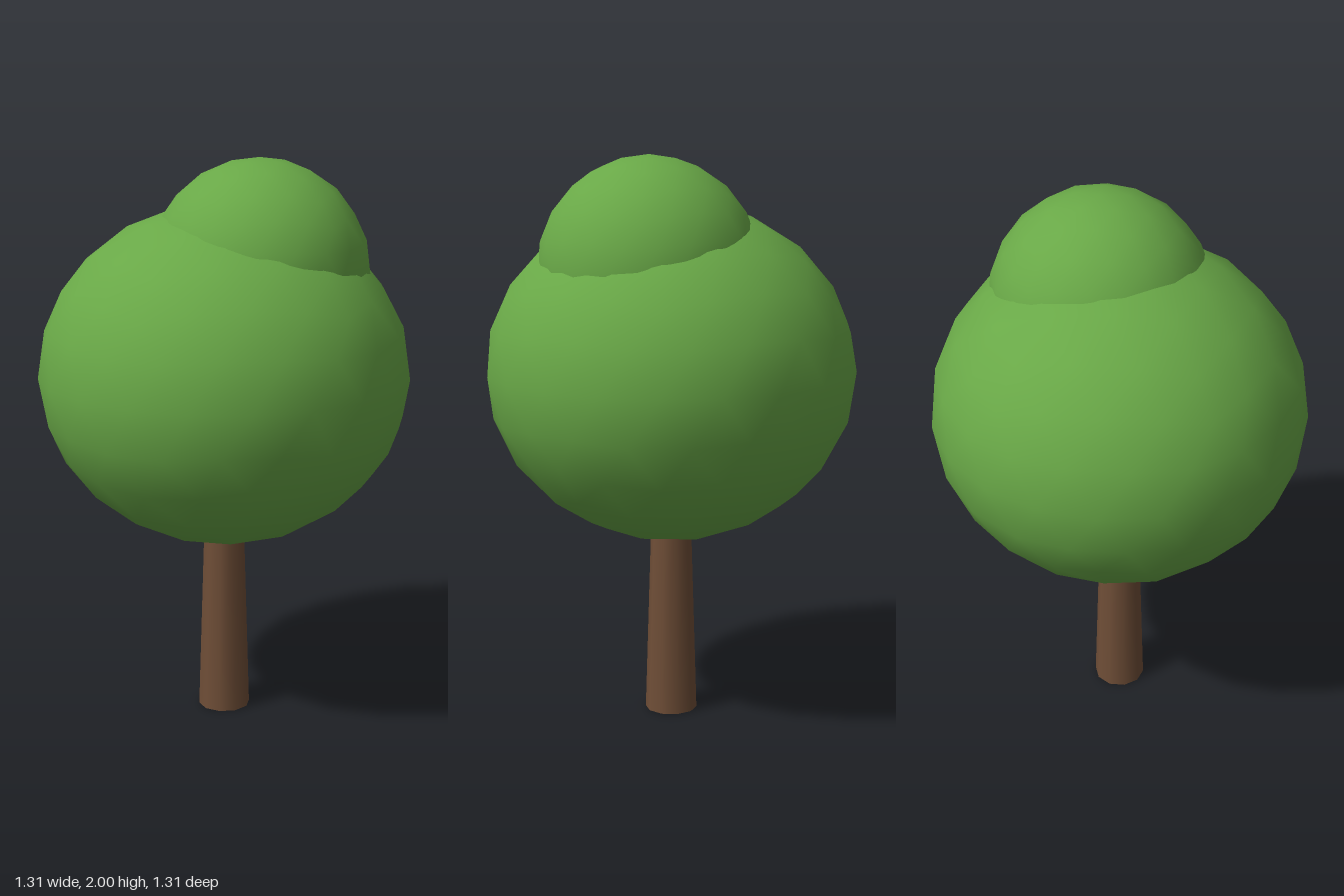
import * as THREE from 'three';

export function createModel() {
  const model = new THREE.Group();
  model.name = 'tree';

  const leaf = new THREE.MeshStandardMaterial({ color: 0x69a847 });
  leaf.name = 'leaf green';
  const bark = new THREE.MeshStandardMaterial({ color: 0x6f4e37 });
  bark.name = 'bark brown';

  // Tapered ten-sided trunk, running a little way into the crown
  const height = 0.75;
  const trunk = new THREE.Mesh(new THREE.CylinderGeometry(0.07, 0.093, height, 10), bark);
  trunk.name = 'trunk';
  trunk.position.y = height / 2;
  model.add(trunk);

  // Smooth icosphere, turned so that one corner points straight up
  const ball = new THREE.IcosahedronGeometry(1, 3);
  ball.rotateZ(-Math.atan(2 / (1 + Math.sqrt(5))));

  const addFoliage = (name, position, radius, halfHeight) => {
    const mesh = new THREE.Mesh(ball, leaf);
    mesh.name = name;
    mesh.position.set(...position);
    mesh.scale.set(radius, halfHeight, radius);
    model.add(mesh);
  };

  // Large crown, with a smaller tuft on its upper front left
  addFoliage('crown', [0, 1.245, 0], 0.653, 0.6);
  addFoliage('topTuft', [0.1, 1.61, 0.07], 0.385, 0.39);

  return model;
}
